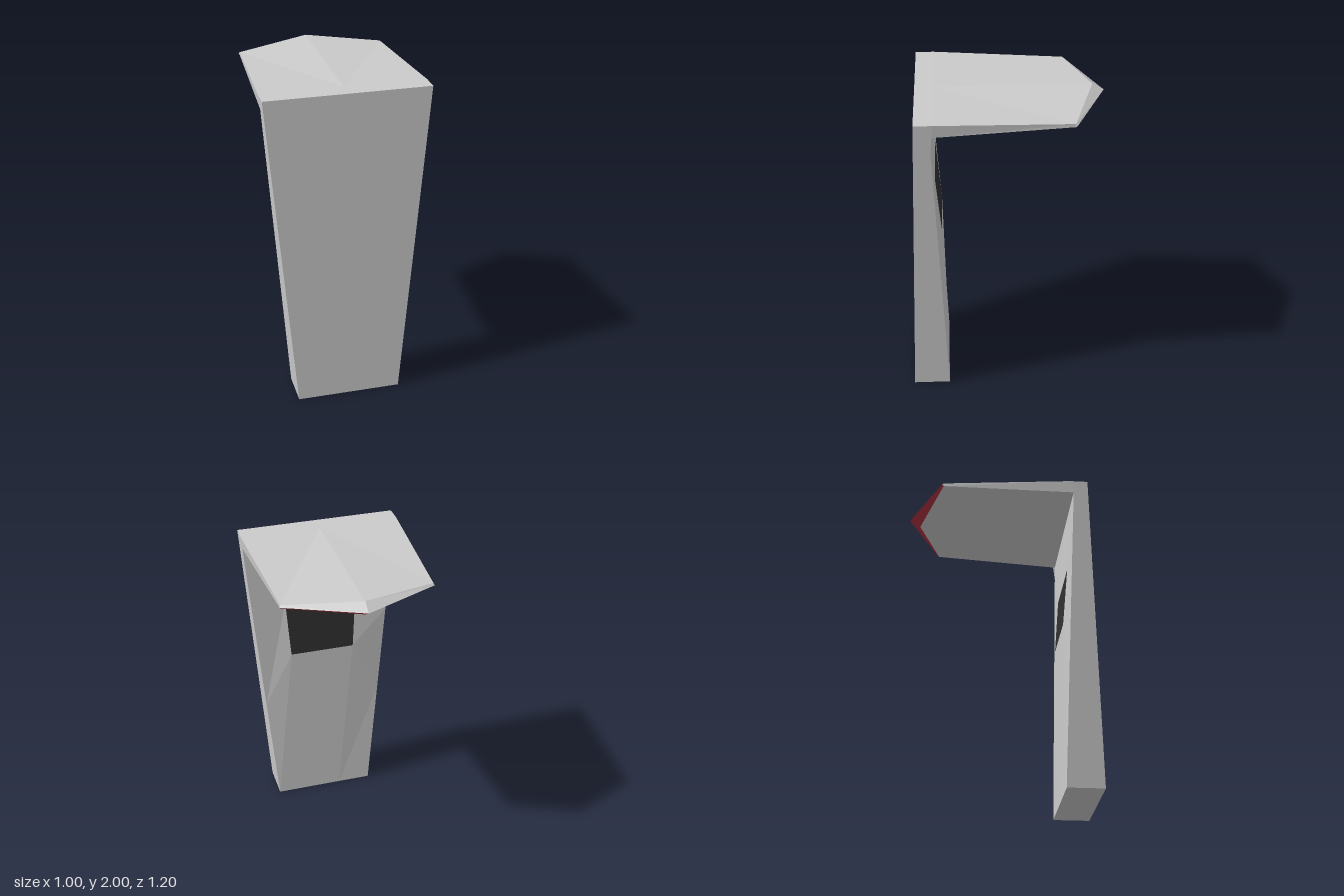
import * as THREE from 'three';

// Mesh from flat polygons on the +x half, mirrored across x = 0
function mirroredFacets(name, color, polygons) {
  const pos = [];
  const fan = (p) => {
    for (let i = 1; i < p.length - 1; i++) pos.push(...p[0], ...p[i], ...p[i + 1]);
  };
  for (const p of polygons) {
    fan(p);
    fan(p.map(([x, y, z]) => [-x, y, z]).reverse());
  }
  const geo = new THREE.BufferGeometry();
  geo.setAttribute('position', new THREE.Float32BufferAttribute(pos, 3));
  geo.computeVertexNormals();
  const mesh = new THREE.Mesh(geo, new THREE.MeshStandardMaterial({ color, flatShading: true }));
  mesh.name = name;
  return mesh;
}

const mid = ([, y, z]) => [0, y, z]; // same height and depth, on the centre plane

export function createModel() {
  const group = new THREE.Group();
  group.name = 'canopyTower';

  // Tower corners
  const frontBase = [0.325, 0, 0.6], frontTop = [0.5, 2, 0.53];
  const backBase = [0.325, 0, 0.37], backTop = [0.493, 1.92, 0.44];
  const edgeAt = (y) => {
    const t = y / 1.92;
    return [0.325 + 0.168 * t, y, 0.37 + 0.07 * t];
  };
  const edgeLow = edgeAt(0.75), edgeHigh = edgeAt(1.35);

  // Bulge on the back that carries the screen
  const bulgeBase = [0.11, 0, 0.37];
  const screenLow = [0.21, 1.12, 0.39], screenHigh = [0.235, 1.5, 0.422];

  // Canopy corners
  const roofBend = [0.5, 2, 0.42];
  const eaveTop = [0.455, 1.97, -0.39], eaveLow = [0.455, 1.95, -0.39];
  const noseCorner = [0.46, 1.96, -0.4], noseTip = [0, 1.96, -0.6];
  const ridgeTop = [0, 2, -0.53], ridgeLow = [0, 1.915, -0.53];

  group.add(mirroredFacets('tower', 0xcccccc, [
    [mid(frontBase), frontBase, frontTop, mid(frontTop)],
    [frontBase, backBase, backTop, roofBend, frontTop],
    [mid(backBase), backBase, frontBase, mid(frontBase)],
    [backBase, bulgeBase, screenLow, edgeLow],
    [edgeLow, screenLow, screenHigh, edgeHigh],
    [edgeHigh, screenHigh, backTop],
    [screenHigh, mid(screenHigh), mid(backTop), backTop],
    [bulgeBase, mid(bulgeBase), mid(screenLow), screenLow],
  ]));

  group.add(mirroredFacets('screen', 0x303030, [
    [screenLow, mid(screenLow), mid(screenHigh), screenHigh],
  ]));

  group.add(mirroredFacets('canopy', 0xcccccc, [
    [mid(frontTop), frontTop, roofBend, mid(roofBend)],
    [mid(roofBend), roofBend, eaveTop],
    [mid(roofBend), eaveTop, ridgeTop],
    [backTop, eaveLow, eaveTop, roofBend],
    [eaveLow, noseCorner, eaveTop],
    [eaveTop, noseCorner, noseTip, ridgeTop],
    [mid(backTop), eaveLow, backTop],
    [mid(backTop), ridgeLow, eaveLow],
  ]));

  // Red bevel under the nose
  group.add(mirroredFacets('noseUnderside', 0xb03040, [
    [eaveLow, ridgeLow, noseTip, noseCorner],
  ]));

  return group;
}
